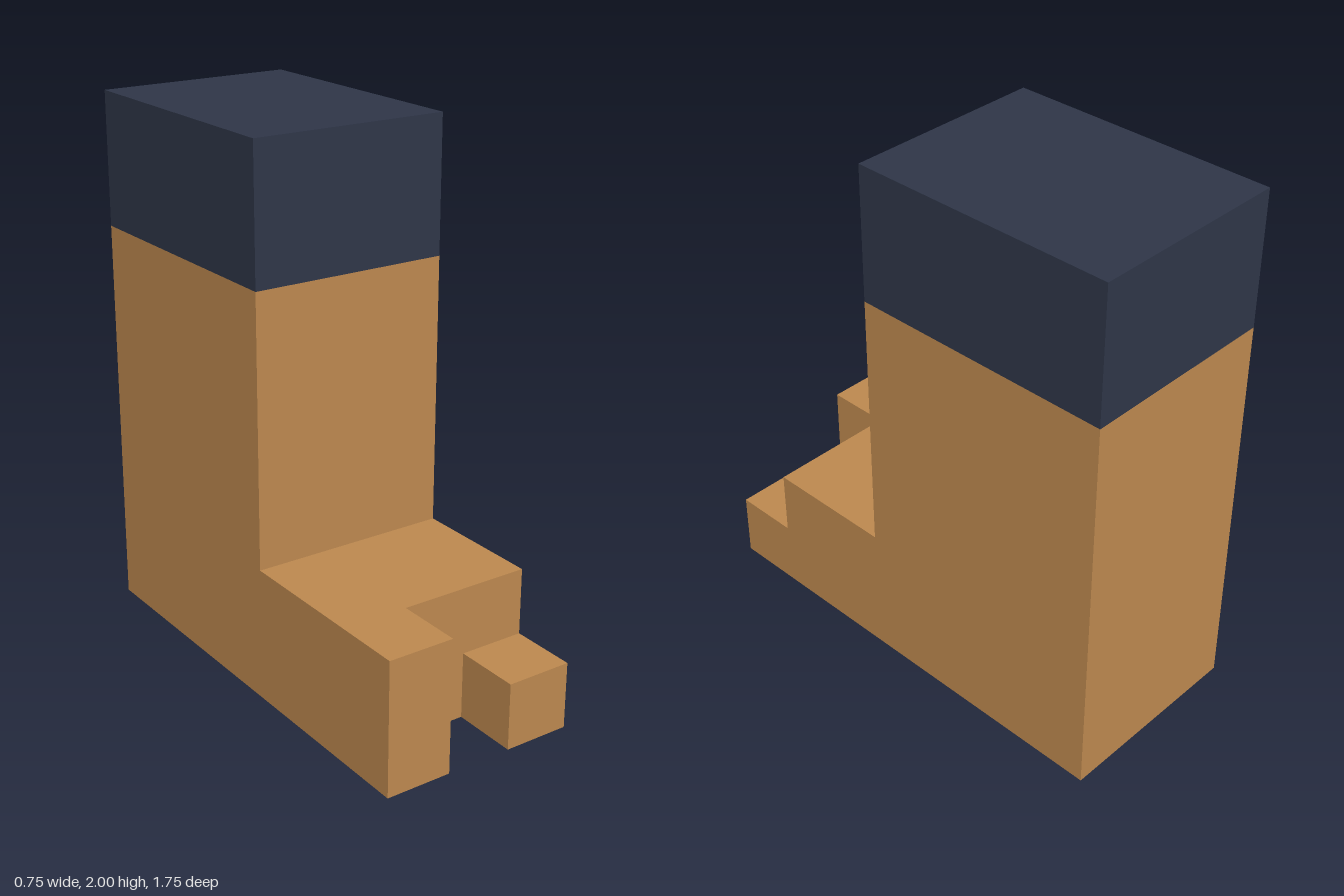
import * as THREE from 'three';

const WIDTH = 0.75;

function material(name, color) {
  const m = new THREE.MeshStandardMaterial({ color });
  m.name = name;
  return m;
}

// Box given by its minimum and maximum corners
function block(name, min, max, mat) {
  const size = max.map((v, i) => v - min[i]);
  const mesh = new THREE.Mesh(new THREE.BoxGeometry(...size), mat);
  mesh.position.set(...max.map((v, i) => (v + min[i]) / 2));
  mesh.name = name;
  return mesh;
}

export function createModel() {
  const tan = material('tan', 0xbb874e);
  const navy = material('navy', 0x2e3547);
  const group = new THREE.Group();
  group.name = 'bootedLeg';

  // Leg and foot: an L-shaped side profile (z, y) swept across the width
  const profile = new THREE.Shape([
    [-0.875, 0], [0.625, 0], [0.625, 0.5], [0.125, 0.5], [0.125, 1.5], [-0.875, 1.5],
  ].map(([z, y]) => new THREE.Vector2(z, y)));
  const geometry = new THREE.ExtrudeGeometry(profile, { depth: WIDTH, bevelEnabled: false });
  geometry.rotateY(-Math.PI / 2).translate(WIDTH / 2, 0, 0);
  const leg = new THREE.Mesh(geometry, tan);
  leg.name = 'legAndFoot';
  group.add(leg);

  // Toes: tall on the right, short on the left
  group.add(block('rightToe', [-0.375, 0, 0.625], [-0.125, 0.5, 0.875], tan));
  group.add(block('leftToe', [0.125, 0, 0.625], [0.375, 0.25, 0.875], tan));

  // Dark band at the top of the leg
  group.add(block('upperCuff', [-0.375, 1.5, -0.875], [0.375, 2, 0.125], navy));

  return group;
}
